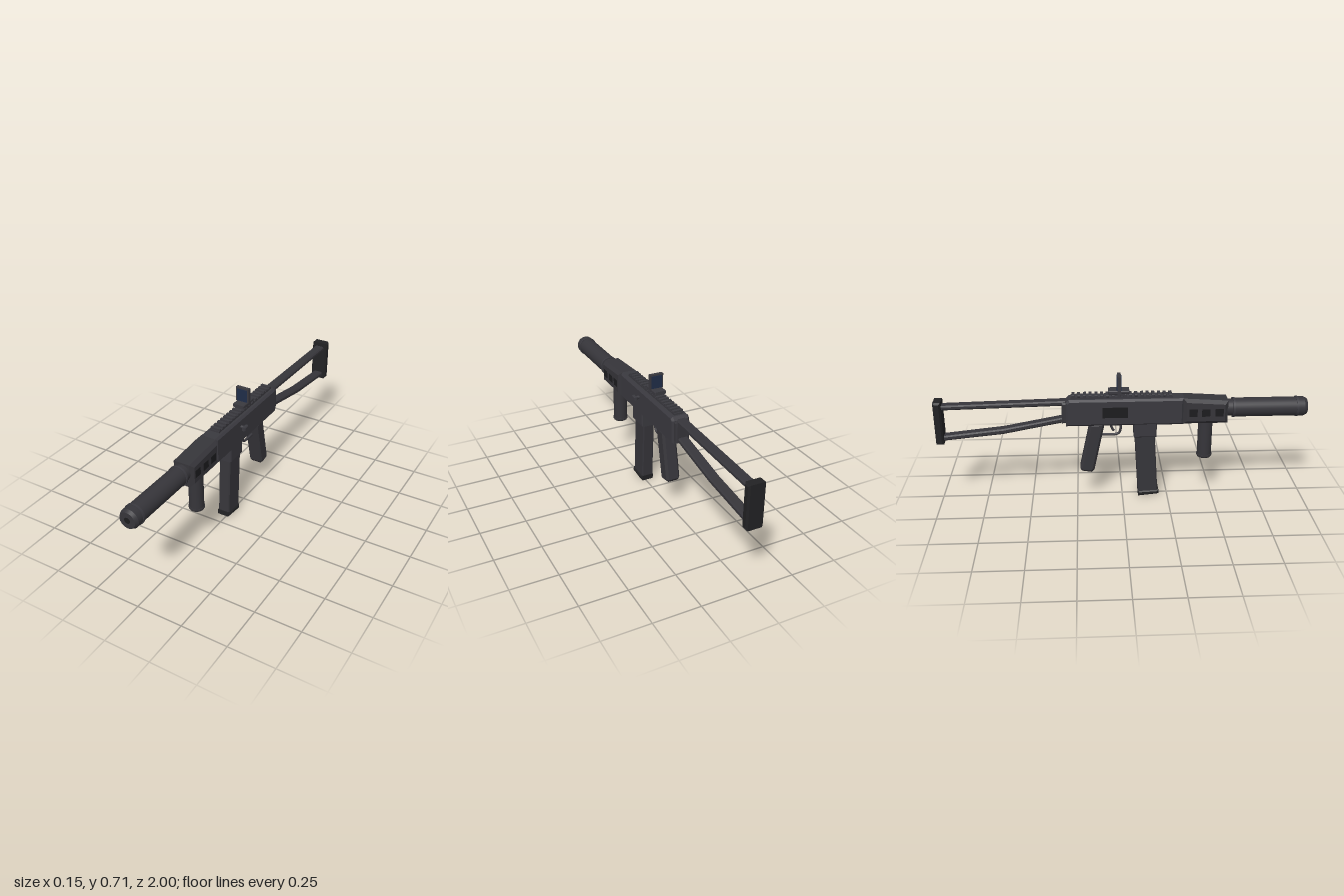
import * as THREE from 'three';

const material = (name, color) => {
  const m = new THREE.MeshStandardMaterial({ color });
  m.name = name;
  return m;
};

export function createModel() {
  const metal = material('gunmetal', 0x3a393f);
  const polymer = material('polymer', 0x36353a);
  const dark = material('dark rubber', 0x222224);
  const black = material('recess black', 0x1c1c1e);
  const glass = material('sight glass', 0x1f2d48);

  const model = new THREE.Group();
  model.name = 'toyBlaster';
  const body = new THREE.Group();
  body.name = 'body';
  body.position.x = -0.0125; // the side handle shifts the centre line
  model.add(body);

  const add = (name, geometry, mat) => {
    const mesh = new THREE.Mesh(geometry, mat);
    mesh.name = name;
    body.add(mesh);
    return mesh;
  };
  // Side outline in [z, y], spread across x with chamfered edges
  const prism = (name, mat, points, width, bevel) => {
    const shape = new THREE.Shape(points.map(([z, y]) => new THREE.Vector2(z, y)));
    const g = new THREE.ExtrudeGeometry(shape, {
      depth: width - 2 * bevel, bevelEnabled: bevel > 0, bevelSize: bevel,
      bevelThickness: bevel, bevelOffset: -bevel, bevelSegments: 1,
    });
    g.translate(0, 0, bevel - width / 2);
    g.rotateY(-Math.PI / 2);
    return add(name, g, mat);
  };
  const block = (name, mat, width, y0, y1, z0, z1, bevel = 0) =>
    prism(name, mat, [[z0, y0], [z1, y0], [z1, y1], [z0, y1]], width, bevel);
  // Round section along z, from the back end to the front end
  const barrel = (name, mat, z0, z1, rBack, rFront) => {
    const g = new THREE.CylinderGeometry(rFront, rBack, z1 - z0, 32);
    g.rotateX(Math.PI / 2);
    g.translate(0, 0.515, (z0 + z1) / 2);
    return add(name, g, mat);
  };

  // Barrel shroud with its rings and bore
  barrel('shroudNeck', polymer, 0.55, 0.6, 0.046, 0.046);
  barrel('shroudRearRing', metal, 0.595, 0.606, 0.055, 0.055);
  barrel('shroudTube', polymer, 0.6, 0.955, 0.0515, 0.0515);
  barrel('shroudFrontRing', metal, 0.938, 0.95, 0.055, 0.055);
  barrel('shroudCap', polymer, 0.95, 0.982, 0.052, 0.052);
  barrel('shroudCapTaper', polymer, 0.982, 0.999, 0.052, 0.043);
  barrel('bore', black, 0.994, 1.0, 0.016, 0.016);

  // Handguard with three recesses on each side
  prism('handguard', polymer, [[0.566, 0.442], [0.566, 0.57], [0.325, 0.586], [0.325, 0.442]], 0.12, 0.018);
  for (const side of [-1, 1]) {
    for (const z of [0.518, 0.446, 0.378]) {
      const vent = add('handguardVent', new THREE.BoxGeometry(0.006, 0.042, 0.044), black);
      vent.position.set(side * 0.0585, 0.508, z);
    }
  }

  // Receiver and rear block
  prism('receiver', metal, [[0.328, 0.437], [0.328, 0.587], [-0.285, 0.587],
    [-0.302, 0.57], [-0.302, 0.437]], 0.1, 0.011);
  block('rearBlock', polymer, 0.08, 0.452, 0.568, -0.324, -0.29, 0.008);
  const port = add('ejectionPort', new THREE.BoxGeometry(0.008, 0.058, 0.135), black);
  port.position.set(-0.05, 0.515, -0.04);
  const handle = add('chargingHandle', new THREE.CylinderGeometry(0.009, 0.009, 0.03, 16).rotateZ(Math.PI / 2), metal);
  handle.position.set(0.058, 0.539, 0.088);
  block('chargingKnob', metal, 0.02, 0.528, 0.549, 0.069, 0.108, 0.004).position.x = 0.074;

  // Top rail
  block('railBase', metal, 0.054, 0.58, 0.597, -0.275, 0.268);
  for (let i = 0; i < 18; i++) {
    const z = -0.262 + i * 0.0305;
    block('railTooth', metal, 0.056, 0.594, 0.608, z - 0.008, z + 0.008, 0.002);
  }

  // Open sight
  block('sightClamp', metal, 0.054, 0.6, 0.616, -0.055, 0.015, 0.002);
  block('sightBase', metal, 0.066, 0.612, 0.63, -0.075, 0.037, 0.004);
  block('sightFrame', metal, 0.076, 0.628, 0.709, -0.027, -0.007);
  for (const z of [-0.028, -0.006]) {
    add('sightGlass', new THREE.BoxGeometry(0.061, 0.07, 0.004), glass).position.set(0, 0.666, z);
  }

  // Front grip
  const round = (name, mat, y0, y1, r0, r1) => {
    const g = new THREE.CylinderGeometry(r1, r0, y1 - y0, 28);
    add(name, g, mat).position.set(0, (y0 + y1) / 2, 0.453);
  };
  round('frontGrip', polymer, 0.24, 0.45, 0.039, 0.039);
  round('frontGripRim', polymer, 0.236, 0.246, 0.042, 0.042);
  round('frontGripFoot', polymer, 0.229, 0.236, 0.038, 0.042);

  // Magazine
  block('magazineWell', metal, 0.088, 0.363, 0.45, 0.062, 0.185, 0.006);
  prism('magazine', polymer, [[0.175, 0.39], [0.066, 0.39], [0.087, 0.02], [0.196, 0.025]], 0.066, 0.006);
  prism('magazineFoot', dark, [[0.201, 0.037], [0.086, 0.031], [0.088, 0], [0.203, 0.012]], 0.078, 0.008);

  // Hand grip, trigger and guard
  prism('handGrip', polymer, [[-0.095, 0.445], [-0.175, 0.445], [-0.232, 0.178],
    [-0.222, 0.163], [-0.168, 0.154], [-0.154, 0.17]], 0.08, 0.012);
  const tube = (name, points, r) => {
    const curve = new THREE.CatmullRomCurve3(points.map(([z, y]) => new THREE.Vector3(0, y, z)), false, 'centripetal');
    add(name, new THREE.TubeGeometry(curve, 28, r, 10), metal);
  };
  tube('triggerGuard', [[-0.009, 0.445], [-0.009, 0.4], [-0.018, 0.376], [-0.04, 0.368], [-0.08, 0.368], [-0.12, 0.37]], 0.007);
  tube('trigger', [[-0.062, 0.445], [-0.06, 0.42], [-0.053, 0.4], [-0.045, 0.39]], 0.007);

  // Skeleton stock and shoulder pad
  prism('stockTopBar', polymer, [[-0.3, 0.576], [-0.3, 0.549], [-0.965, 0.534], [-0.965, 0.56]], 0.056, 0.007);
  prism('stockLowerStrut', polymer, [[-0.3, 0.484], [-0.3, 0.456], [-0.64, 0.391],
    [-0.965, 0.358], [-0.965, 0.385], [-0.64, 0.42]], 0.056, 0.007);
  block('shoulderPad', dark, 0.094, 0.343, 0.583, -1.0, -0.959, 0.009);

  return model;
}
